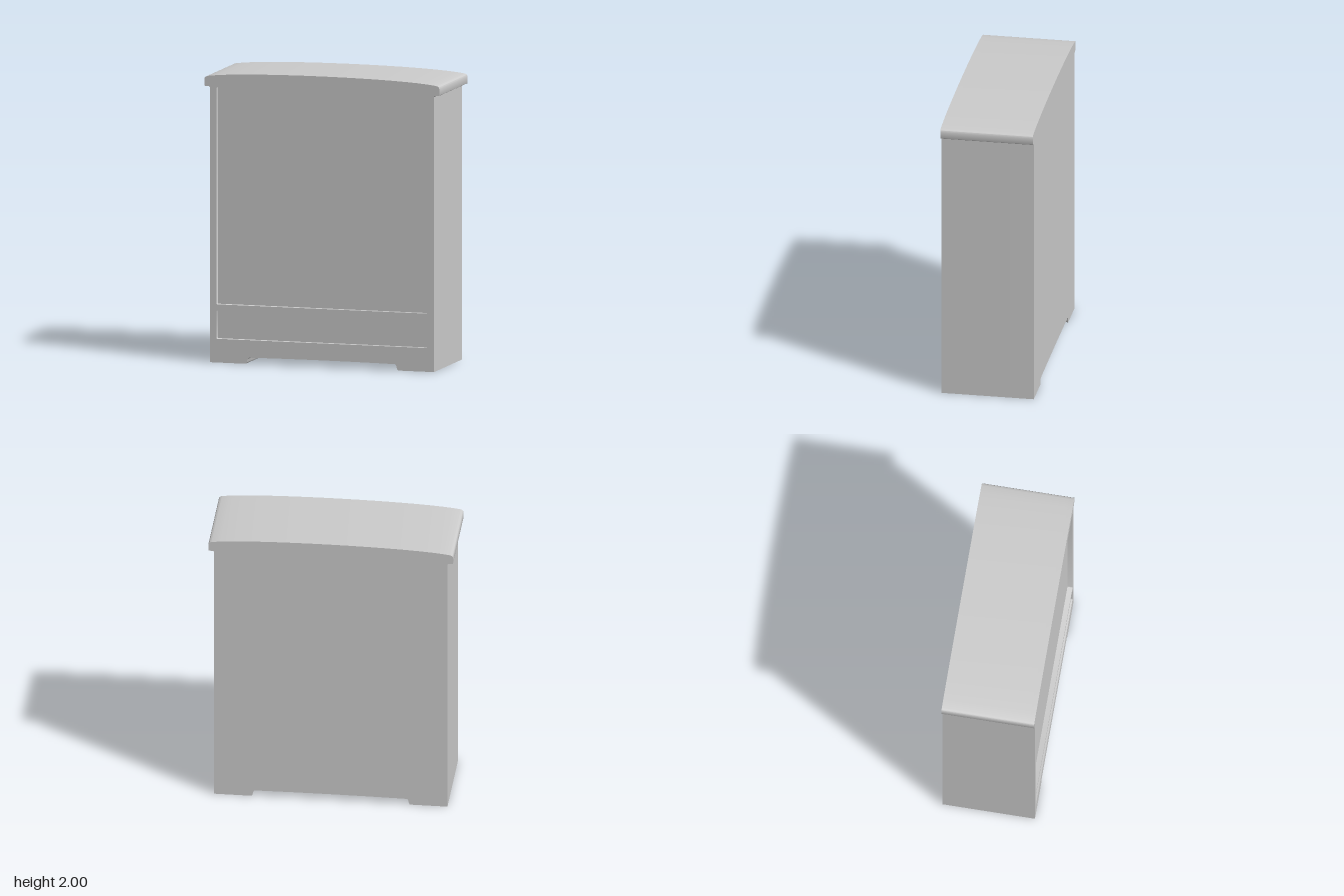
import * as THREE from 'three';
import { toCreasedNormals } from 'three/addons/utils/BufferGeometryUtils.js';

const HALF_DEPTH = 0.32;
const RECESS = 0.035;
const material = new THREE.MeshStandardMaterial({ color: 0xcccccc });

// Whole cabinet outline: feet, straight sides, overhanging arched top
function cabinetOutline() {
  const s = new THREE.Shape();
  s.moveTo(-0.8, 0);
  s.lineTo(-0.545, 0);
  s.quadraticCurveTo(-0.537, 0.003, -0.534, 0.02);
  s.quadraticCurveTo(-0.53, 0.043, -0.518, 0.043);
  s.quadraticCurveTo(0, 0.05, 0.518, 0.043);
  s.quadraticCurveTo(0.53, 0.043, 0.534, 0.02);
  s.quadraticCurveTo(0.537, 0.003, 0.545, 0);
  s.lineTo(0.8, 0);
  s.lineTo(0.8, 1.892);
  s.lineTo(0.806, 1.9);
  s.lineTo(0.832, 1.9);
  s.quadraticCurveTo(0.838, 1.9, 0.838, 1.906);
  s.lineTo(0.838, 1.95);
  s.quadraticCurveTo(0.838, 1.964, 0.815, 1.969);
  s.bezierCurveTo(0.56, 2.01, -0.56, 2.01, -0.815, 1.969);
  s.quadraticCurveTo(-0.838, 1.964, -0.838, 1.95);
  s.lineTo(-0.838, 1.906);
  s.quadraticCurveTo(-0.838, 1.9, -0.832, 1.9);
  s.lineTo(-0.806, 1.9);
  s.lineTo(-0.8, 1.892);
  s.closePath();
  return s;
}

// Rectangular opening with slightly rounded corners
function opening(w, y0, y1, r = 0.008) {
  const p = new THREE.Path();
  p.moveTo(-w + r, y0);
  p.lineTo(w - r, y0);
  p.quadraticCurveTo(w, y0, w, y0 + r);
  p.lineTo(w, y1 - r);
  p.quadraticCurveTo(w, y1, w - r, y1);
  p.lineTo(-w + r, y1);
  p.quadraticCurveTo(-w, y1, -w, y1 - r);
  p.lineTo(-w, y0 + r);
  p.quadraticCurveTo(-w, y0, -w + r, y0);
  return p;
}

function slab(name, shape, z0, z1) {
  const geo = new THREE.ExtrudeGeometry(shape, { depth: z1 - z0, bevelEnabled: false, curveSegments: 16 });
  geo.translate(0, 0, z0);
  const mesh = new THREE.Mesh(toCreasedNormals(geo, 0.5), material);
  mesh.name = name;
  return mesh;
}

export function createModel() {
  const group = new THREE.Group();
  group.name = 'cabinet';

  // Solid carcass whose front face forms the recessed panels
  group.add(slab('carcass', cabinetOutline(), -HALF_DEPTH, HALF_DEPTH - RECESS));

  // Front frame around the tall upper panel and the low drawer panel
  const frame = cabinetOutline();
  frame.holes.push(opening(0.753, 0.4, 1.897), opening(0.753, 0.163, 0.36));
  group.add(slab('frontFrame', frame, HALF_DEPTH - RECESS, HALF_DEPTH));

  return group;
}
